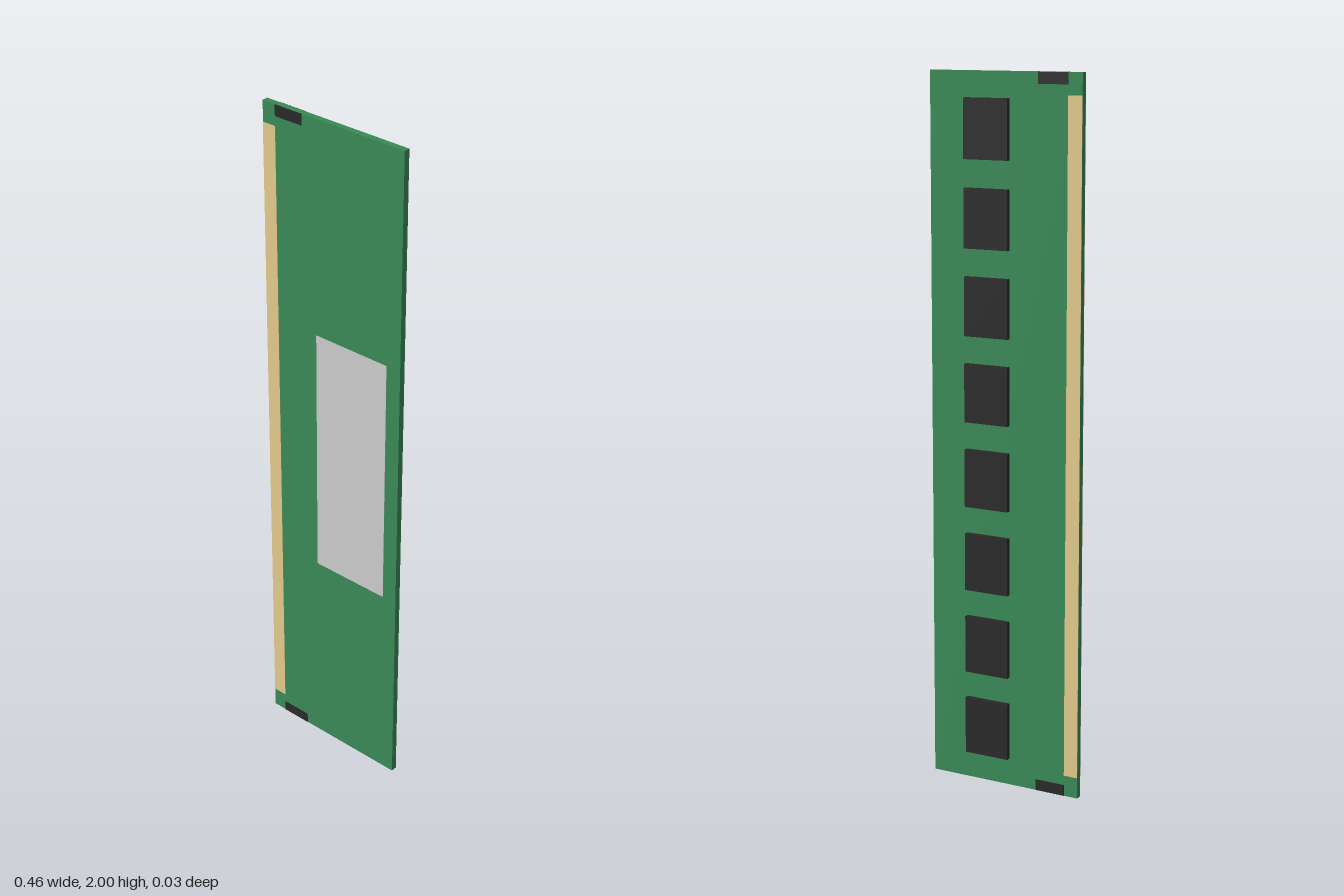
import * as THREE from 'three';

export function createModel() {
  const group = new THREE.Group();
  group.name = 'memoryModule';
  const mat = (color) => new THREE.MeshStandardMaterial({ color });
  const green = mat(0x3a8a56), gold = mat(0xe3cb8c), black = mat(0x2a2a2a), grey = mat(0xcccccc);

  // Box given by its lower and upper bounds on each axis
  function box(name, material, [x0, x1], [y0, y1], [z0, z1]) {
    const mesh = new THREE.Mesh(new THREE.BoxGeometry(x1 - x0, y1 - y0, z1 - z0), material);
    mesh.position.set((x0 + x1) / 2, (y0 + y1) / 2, (z0 + z1) / 2);
    mesh.name = name;
    group.add(mesh);
  }

  const back = -0.002, front = 0.016, skin = 0.001;

  // Circuit board
  box('circuitBoard', green, [-0.232, 0.232], [0, 2], [back, front]);

  // Contact strips and dark end notches on both faces
  for (const [side, z] of [['front', [front, front + skin]], ['back', [back - skin, back]]]) {
    box(side + 'ContactStrip', gold, [-0.232, -0.19], [0.06, 1.94], z);
    box(side + 'LowerNotch', black, [-0.19, -0.1], [0, 0.032], z);
    box(side + 'UpperNotch', black, [-0.19, -0.1], [1.968, 2], z);
  }

  // Blank label on the front
  box('label', grey, [-0.055, 0.187], [0.625, 1.378], [front, front + skin]);

  // Row of memory chips on the back
  for (let i = 0; i < 8; i++) {
    const y = 0.16 + i * 0.241;
    box('memoryChip' + (i + 1), black, [-0.015, 0.12], [y - 0.082, y + 0.082], [-0.017, back]);
  }
  return group;
}
